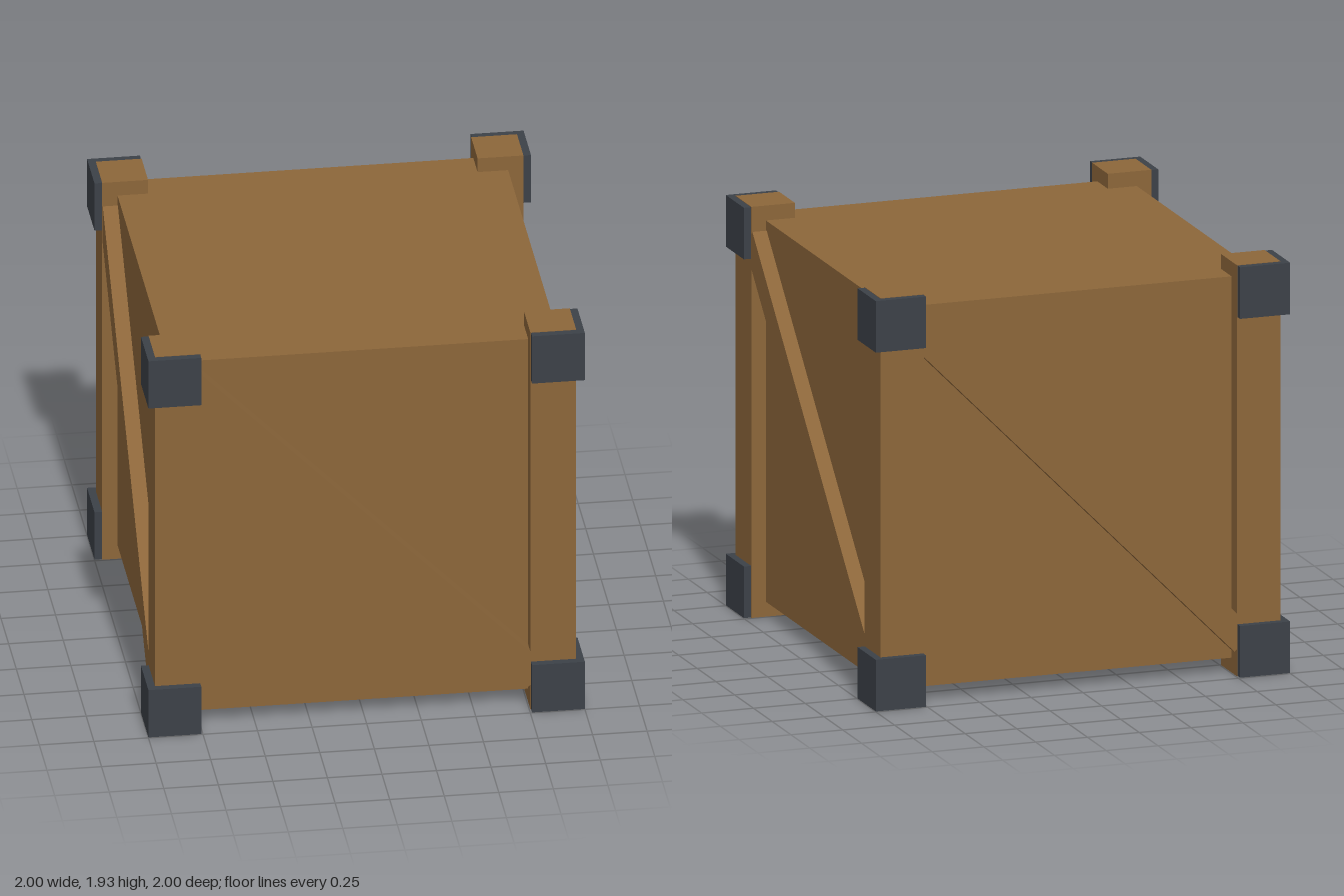
import * as THREE from 'three';

const wood = new THREE.MeshStandardMaterial({ color: 0x8c663a });
wood.name = 'wood';
const iron = new THREE.MeshStandardMaterial({ color: 0x3c4148 });
iron.name = 'dark iron';

const MID = 0.965; // height of the crate's centre

function box(name, material, size, position) {
  const mesh = new THREE.Mesh(new THREE.BoxGeometry(...size), material);
  mesh.name = name;
  mesh.position.set(...position);
  return mesh;
}

export function createModel() {
  const crate = new THREE.Group();
  crate.name = 'crate';

  // Plain inner box
  crate.add(box('body', wood, [1.79, 1.79, 1.79], [0, MID, 0]));

  // Corner posts with an iron fitting at each end; post ends and inner sides stay bare wood
  for (const sx of [-1, 1]) {
    for (const sz of [-1, 1]) {
      crate.add(box('cornerPost', wood, [0.21, 1.93, 0.21], [sx * 0.86, MID, sz * 0.86]));
      for (const sy of [-1, 1]) {
        crate.add(box('cornerFitting', iron, [0.242, 0.242, 0.242],
          [sx * 0.879, MID + sy * 0.842, sz * 0.879]));
      }
    }
  }

  // One diagonal brace on each of the four sides
  for (let i = 0; i < 4; i++) {
    const side = new THREE.Group();
    side.name = 'braceSide';
    const brace = box('diagonalBrace', wood, [2.256, 0.134, 0.08], [0, MID, 0.924]);
    brace.rotation.z = -Math.atan(1.013);
    side.add(brace);
    side.rotation.y = i * Math.PI / 2;
    crate.add(side);
  }

  return crate;
}
